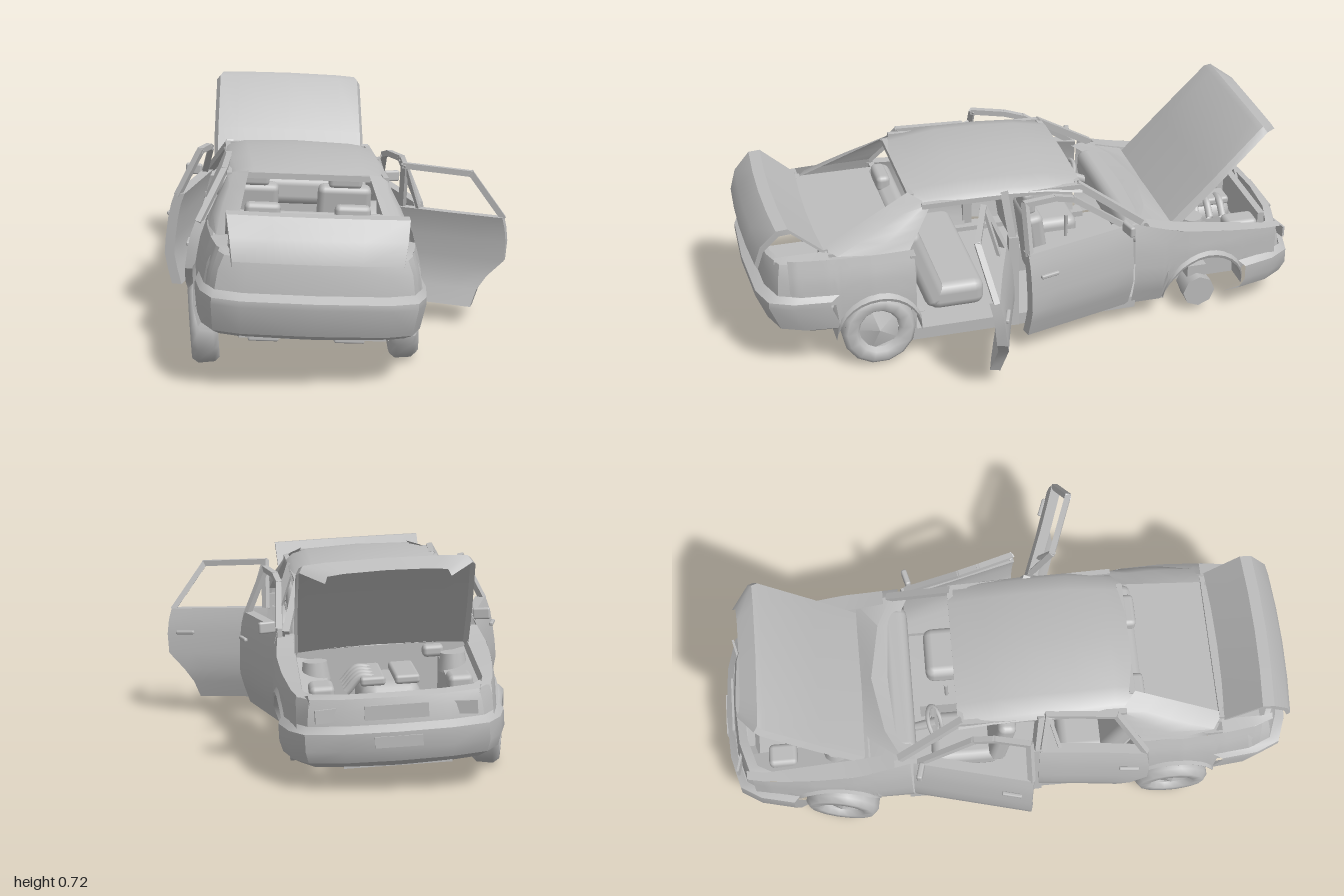
import * as THREE from 'three';
import { toCreasedNormals } from 'three/addons/utils/BufferGeometryUtils.js';
import { RoundedBoxGeometry } from 'three/addons/geometries/RoundedBoxGeometry.js';

const grey = new THREE.MeshStandardMaterial({ color: 0xbcbcbc, side: THREE.DoubleSide });
grey.name = 'plain grey';

// Straight-line interpolation through [position, value] pairs
function tab(pts, v) {
  if (v <= pts[0][0]) return pts[0][1];
  for (let i = 1; i < pts.length; i++) {
    const [a, p] = pts[i - 1], [b, q] = pts[i];
    if (v <= b) return p + (q - p) * (v - a) / (b - a);
  }
  return pts[pts.length - 1][1];
}
const range = (a, b, n) => Array.from({ length: n + 1 }, (_, i) => a + (b - a) * i / n);

// Half width of the body at any length and height
const plan = [[-0.97, 0.29], [-0.85, 0.325], [-0.7, 0.35], [-0.55, 0.362], [0.3, 0.362], [0.6, 0.372], [0.75, 0.362], [0.86, 0.345], [0.93, 0.31], [0.97, 0.28]];
const tumble = [[0.08, 0.9], [0.2, 1], [0.3, 0.99], [0.38, 0.96], [0.45, 0.9], [0.57, 0.73]];
const side = (z, y) => tab(plan, z) * tab(tumble, y);

function add(parent, name, geo, x = 0, y = 0, z = 0, rx = 0, ry = 0, rz = 0) {
  const m = new THREE.Mesh(geo, grey);
  m.name = name;
  m.position.set(x, y, z);
  m.rotation.set(rx, ry, rz);
  parent.add(m);
  return m;
}

// Skin over rows of [x, y, z] points
function skin(parent, name, rows) {
  const n = rows[0].length, idx = [];
  for (let r = 0; r < rows.length - 1; r++) for (let c = 0; c < n - 1; c++) {
    const a = r * n + c, b = a + n;
    idx.push(a, a + 1, b, a + 1, b + 1, b);
  }
  const g = new THREE.BufferGeometry();
  g.setAttribute('position', new THREE.Float32BufferAttribute(rows.flat(2), 3));
  g.setIndex(idx);
  g.computeVertexNormals();
  return add(parent, name, toCreasedNormals(g, 0.6));
}
const box = (p, name, w, h, d, x, y, z, rx = 0) => add(p, name, new THREE.BoxGeometry(w, h, d), x, y, z, rx);
const soft = (p, name, w, h, d, x, y, z, rx = 0) => add(p, name, new RoundedBoxGeometry(w, h, d, 2, Math.min(w, h, d) * 0.35), x, y, z, rx);
function beam(p, name, a, b, w) {
  const A = new THREE.Vector3(...a), B = new THREE.Vector3(...b);
  const m = add(p, name, new THREE.BoxGeometry(w, w, A.distanceTo(B) + w * 0.6));
  m.position.lerpVectors(A, B, 0.5);
  m.quaternion.setFromUnitVectors(new THREE.Vector3(0, 0, 1), B.sub(A).normalize());
}
const pipe = (p, name, pts, r) => add(p, name, new THREE.TubeGeometry(new THREE.CatmullRomCurve3(pts.map(q => new THREE.Vector3(...q))), 16, r, 8));
const arch = (z, zc, r, yc, base) => Math.abs(z - zc) < r ? Math.max(base, yc + Math.sqrt(r * r - (z - zc) ** 2)) : base;

// Door: curved hollow slab with an open window frame, hung at its front edge
function door(parent, name, s, z0, edge, top, angle) {
  const outer = new THREE.Group(), hinge = new THREE.Group();
  outer.name = name;
  outer.scale.x = s;
  const H = side(z0, 0.25);
  hinge.position.set(H, 0, z0);
  hinge.rotation.y = angle;
  outer.add(hinge);
  parent.add(outer);
  const ys = [0.1, 0.1, 0.16, 0.21, 0.27, 0.34, 0.39, 0.43, 0.43];
  skin(hinge, name + 'Panel', ys.map((y, i) => {
    const t = i === 0 || i === ys.length - 1 ? 0 : 0.035, zs = range(0, tab(edge, y), 4);
    const at = (d, off) => [side(z0 + d, y) - H - off, y, d];
    const ring = [...zs.map(d => at(d, 0.018 - t / 2)), ...zs.slice().reverse().map(d => at(d, 0.018 + t / 2))];
    return [...ring, ring[0]];
  }));
  const f = top.map(([d, y]) => [side(z0 + d, y) - H - 0.012, y, d]);
  for (let i = 1; i < f.length; i++) beam(hinge, name + 'WindowFrame', f[i - 1], f[i], 0.02);
  soft(hinge, name + 'Handle', 0.014, 0.014, 0.07, 0.0, 0.345, tab(edge, 0.34) - 0.07);
  return hinge;
}

// Wheel: lathed tyre with a five-sided dished hub
function wheel(parent, name, x, y, z, tilt, steer) {
  const g = new THREE.Group();
  g.name = name;
  g.position.set(x, y, z);
  g.rotation.set(0, steer, tilt);
  const prof = [[0.075, -0.045], [0.115, -0.045], [0.13, -0.028], [0.131, 0.025], [0.115, 0.045], [0.082, 0.045], [0.07, 0.025]];
  const tyre = new THREE.LatheGeometry(prof.map(p => new THREE.Vector2(...p)), 14);
  const out = x < -0.14 ? 1 : -1;
  add(g, 'tyre', tyre, 0, 0, 0, 0, 0, out * Math.PI / 2);
  add(g, 'hub', new THREE.ConeGeometry(0.085, 0.03, 5).toNonIndexed(), -out * 0.025, 0, 0, 0, 0, out * Math.PI / 2);
  add(g, 'brakeDisc', new THREE.CylinderGeometry(0.075, 0.075, 0.015, 14), out * 0.02, 0, 0, 0, 0, Math.PI / 2);
  parent.add(g);
}

export function createModel() {
  const car = new THREE.Group();
  car.name = 'openSaloonCar';
  const body = new THREE.Group();
  body.name = 'body';
  body.position.x = -0.14;
  body.rotation.z = -0.055;
  car.add(body);

  // Wings and rear quarters
  const wingTop = z => tab([[-0.96, 0.31], [-0.5, 0.385], [-0.34, 0.43]], z);
  const deck = z => tab([[0.45, 0.45], [0.9, 0.452], [0.96, 0.43]], z);
  const wingLow = z => arch(z, -0.62, 0.155, 0.11, z < -0.77 ? 0.2 : 0.1);
  const tailLow = z => arch(z, 0.58, 0.15, 0.14, z > 0.72 ? 0.29 : 0.1);
  for (const s of [-1, 1]) {
    const panel = (name, zs, lo, hi) => skin(body, name, zs.map(z => range(lo(z), hi(z), 6).map(y => [s * side(z, y), y, z])));
    panel('frontWing', range(-0.9, -0.345, 44), wingLow, wingTop);
    panel('rearQuarter', range(0.45, 0.88, 40), tailLow, deck);
    skin(body, 'wingRim', range(-0.92, -0.4, 8).map(z => {
      const w = side(z, wingTop(z));
      return [[s * w, wingTop(z), z], [s * Math.min(0.285, w - 0.03), wingTop(z) + 0.004, z], [s * Math.min(0.28, w - 0.035), wingTop(z) - 0.03, z], [s * 0.19, wingTop(z) - 0.05, z], [s * 0.18, 0.16, z]];
    }));
    skin(body, 'deckRim', range(0.74, 0.92, 5).map(z => [[s * side(z, deck(z)), deck(z), z], [s * Math.min(0.275, side(z, deck(z)) - 0.02), deck(z) + 0.005, z], [s * 0.26, 0.3, z]]));
    // Wheel arch lips and closed wheel wells
    for (const [zc, r, yc] of [[-0.62, 0.155, 0.11], [0.58, 0.15, 0.14]]) {
      skin(body, 'wheelArch', range(0, Math.PI, 14).map(a => {
        const z = zc + r * Math.cos(a), y = yc + r * Math.sin(a), w = side(z, y);
        return [[s * (w - 0.002), y + 0.025, z], [s * (w + 0.008), y + 0.008, z], [s * (w + 0.004), y - 0.004, z], [s * 0.23, y - 0.004, z], [s * 0.23, yc - 0.006, z]];
      }));
    }
    // Sill, pillars and rear pillar skin
    box(body, 'sill', 0.05, 0.045, 0.82, s * 0.31, 0.105, 0.05);
    beam(body, 'windscreenPillar', [s * 0.305, 0.425, -0.375], [s * 0.245, 0.568, -0.16], 0.024);
    beam(body, 'centrePillarLower', [s * 0.33, 0.1, 0.095], [s * 0.315, 0.43, 0.095], 0.035);
    beam(body, 'centrePillarUpper', [s * 0.315, 0.43, 0.095], [s * 0.258, 0.58, 0.11], 0.026);
    beam(body, 'roofRail', [s * 0.252, 0.568, -0.16], [s * 0.262, 0.575, 0.4], 0.018);
    skin(body, 'rearPillar', range(0, 1, 4).map(t => {
      const y = 0.448 + 0.127 * t, z0 = 0.465 - 0.09 * t, z1 = 0.73 - 0.31 * t;
      return [[s * (side(z0, y) - 0.03), y, z0], [s * side(z0, y), y, z0], [s * side(z1, y), y, (z0 + z1) / 2], [s * (side(z1, y) - 0.02), y + 0.012 * t, z1 - 0.02],
        [s * (0.25 - 0.05 * t), y + 0.005 + 0.02 * t, z1 + 0.02]];
    }));
    box(body, 'doorFrameEnd', 0.03, 0.32, 0.02, s * 0.325, 0.27, 0.455);
    // Headlamps, suspension towers and lid hinges
    box(body, 'headlamp', 0.12, 0.042, 0.008, s * 0.195, 0.258, -0.943).rotation.y = s * 0.24;
    add(body, 'suspensionTower', new THREE.CylinderGeometry(0.04, 0.05, 0.06, 12), s * 0.225, 0.335, -0.6);
    beam(body, 'bootHinge', [s * 0.24, 0.42, 0.76], [s * 0.24, 0.455, 0.75], 0.015);
  }

  // Roof shell
  skin(body, 'roof', [[-0.17, 0.585], [-0.05, 0.608], [0.08, 0.618], [0.25, 0.621], [0.37, 0.61], [0.44, 0.598]].map(([z, y]) =>
    [[-0.268, -0.038], [-0.25, -0.022], [-0.19, -0.006], [0, 0], [0.19, -0.006], [0.25, -0.022], [0.268, -0.038]].map(([x, d]) => [x * (z > 0.3 ? 0.96 : 1), y + d, z])));
  beam(body, 'windscreenHeader', [-0.24, 0.565, -0.16], [0.24, 0.565, -0.16], 0.02);
  beam(body, 'rearWindowHeader', [-0.2, 0.585, 0.43], [0.2, 0.585, 0.43], 0.02);

  // Ends of the body: plan curve swept through a height profile
  function end(name, curve, rows) {
    const full = [...curve, ...curve.slice(0, -1).reverse().map(([x, z]) => [-x, z])];
    skin(body, name, rows.map(([k, y, dz]) => full.map(([x, z]) => [x * k, y, z + dz])));
  }
  const tail = [[-0.365, 0.735], [-0.352, 0.86], [-0.318, 0.94], [-0.23, 0.972], [0, 0.983]];
  end('rearBumper', tail, [[0.92, 0.175, -0.06], [0.985, 0.195, -0.025], [1.015, 0.29, 0.013], [1.012, 0.31, 0.012], [0.98, 0.328, -0.02]]);
  end('rearPanel', tail.slice(1), [[0.985, 0.32, -0.02], [0.955, 0.39, -0.026], [0.9, 0.435, -0.035], [0.86, 0.442, -0.05]]);
  const nose = [[-0.358, -0.765], [-0.33, -0.88], [-0.285, -0.952], [-0.17, -0.983], [0, -0.993]];
  end('frontBumper', nose, [[0.9, 0.085, 0.06], [0.98, 0.11, 0.012], [1.01, 0.15, -0.005], [1.01, 0.205, -0.004], [0.97, 0.225, 0.02]]);
  end('nosePanel', nose.slice(1), [[0.97, 0.22, 0.024], [0.955, 0.27, 0.03], [0.93, 0.305, 0.04], [0.88, 0.315, 0.07]]);
  box(body, 'grille', 0.2, 0.045, 0.008, 0, 0.262, -0.964);
  box(body, 'numberPlateBlank', 0.15, 0.035, 0.008, 0, 0.175, -0.996);

  // Bonnet raised on its rear edge, with bevelled side skirts
  const bonnet = [[-0.495, 0.385, 1], [-0.64, 0.535, 1], [-0.81, 0.712, 0.98], [-0.83, 0.722, 0.94], [-0.89, 0.692, 0.68]];
  skin(body, 'bonnet', bonnet.map(([z, y, k]) => [[-0.288, 0.028], [-0.275, 0.008], [-0.2, 0.003], [0, 0], [0.2, 0.003], [0.275, 0.008], [0.288, 0.028]].map(([x, d]) => [x * k, y - d, z - d * 0.7])));

  // Boot lid raised, with its drop-down rear face
  skin(body, 'bootLid', [[0.75, 0.462, 0.28], [0.87, 0.568, 0.285], [0.91, 0.565, 0.285], [0.965, 0.505, 0.275], [0.985, 0.435, 0.265]].map(([z, y, w]) =>
    [[-w, y - 0.02, z - 0.01], ...[-1, -0.5, 0, 0.5, 1].map(k => [k * w, y, z + 0.012 * (1 - k * k)]), [w, y - 0.02, z - 0.01]]));

  // Scuttle below the windscreen, firewall and rear shelf
  skin(body, 'scuttle', [[-0.31, -0.37], [-0.2, -0.425], [0, -0.46], [0.2, -0.425], [0.31, -0.37]].map(([x, z]) => [[x, 0.385, -0.5], [x, 0.42, z], [x, 0.41, z + 0.06]]));
  box(body, 'firewall', 0.58, 0.28, 0.015, 0, 0.25, -0.48);
  box(body, 'rearShelf', 0.56, 0.012, 0.31, 0, 0.438, 0.6);
  box(body, 'rearDeckStrip', 0.54, 0.014, 0.03, 0, 0.452, 0.75);
  box(body, 'bootFloor', 0.46, 0.02, 0.46, 0, 0.185, 0.69);

  // Engine bay
  soft(body, 'engineBlock', 0.2, 0.16, 0.28, 0, 0.24, -0.68);
  for (const x of [-0.055, 0.055]) soft(body, 'valveCover', 0.08, 0.03, 0.24, x, 0.325, -0.68);
  for (let i = 0; i < 4; i++) pipe(body, 'intakeRunner', [[0.03, 0.32, -0.76 + i * 0.05], [0.09, 0.335, -0.76 + i * 0.05], [0.14, 0.29, -0.76 + i * 0.05]], 0.014);
  soft(body, 'battery', 0.08, 0.05, 0.1, -0.22, 0.31, -0.79);
  soft(body, 'airFilterBox', 0.08, 0.05, 0.12, 0.22, 0.305, -0.79);
  soft(body, 'brakeReservoir', 0.07, 0.04, 0.05, -0.17, 0.36, -0.52);
  box(body, 'radiator', 0.34, 0.14, 0.025, 0, 0.23, -0.9);
  box(body, 'engineTray', 0.34, 0.015, 0.42, 0, 0.09, -0.72);

  // Cabin
  box(body, 'floor', 0.62, 0.018, 0.98, 0, 0.1, 0.01, -0.01);
  soft(body, 'dashboard', 0.56, 0.11, 0.1, 0, 0.36, -0.37);
  box(body, 'centreConsole', 0.08, 0.1, 0.3, 0, 0.16, -0.15);
  add(body, 'gearLever', new THREE.CylinderGeometry(0.008, 0.006, 0.1, 8), 0, 0.25, -0.2);
  add(body, 'steeringWheel', new THREE.TorusGeometry(0.058, 0.008, 8, 20), -0.165, 0.37, -0.25, -0.4);
  add(body, 'steeringBoss', new THREE.CylinderGeometry(0.02, 0.015, 0.09, 8), -0.165, 0.355, -0.285, 1.2);
  box(body, 'steeringSpoke', 0.11, 0.02, 0.01, -0.165, 0.37, -0.25, -0.4);
  for (const s of [-1, 1]) {
    soft(body, 'frontSeatCushion', 0.19, 0.09, 0.24, s * 0.165, 0.19, -0.15);
    soft(body, 'frontSeatBack', 0.19, 0.29, 0.065, s * 0.165, 0.32, -0.02, 0.15);
    soft(body, 'frontHeadrest', 0.12, 0.09, 0.045, s * 0.165, 0.5, 0.01, 0.1);
    soft(body, 'rearHeadrest', 0.12, 0.06, 0.05, s * 0.15, 0.47, 0.46);
  }
  soft(body, 'rearSeatCushion', 0.54, 0.1, 0.2, 0, 0.19, 0.28);
  soft(body, 'rearSeatBack', 0.54, 0.32, 0.08, 0, 0.31, 0.4, 0.35);

  // Doors, each opened by its own amount
  const frontEdge = [[0.1, 0.415], [0.44, 0.42]];
  const rearEdge = [[0.1, 0.28], [0.16, 0.295], [0.21, 0.325], [0.27, 0.38], [0.36, 0.385], [0.43, 0.37]];
  const frontTop = [[0.02, 0.425], [0.2, 0.555], [0.27, 0.575], [0.39, 0.583], [0.41, 0.425]];
  const rearTop = [[0.01, 0.43], [0.025, 0.588], [0.26, 0.585], [0.365, 0.43]];
  for (const [s, a, b, n] of [[1, 0.25, 1.22, 'left'], [-1, 0.255, 0.09, 'right']]) {
    const f = door(body, n + 'FrontDoor', s, -0.34, frontEdge, frontTop, a);
    soft(f, 'wingMirror', 0.06, 0.04, 0.02, 0.0, 0.435, 0.03);
    const r = door(body, n + 'RearDoor', s, 0.1, rearEdge, rearTop, b);
    beam(r, 'windowDivider', [-0.05, 0.43, 0.07], [-0.105, 0.585, 0.03], 0.012);
  }

  // Underside: exhaust, rails, axle and dampers
  for (const x of [-0.06, 0.06]) pipe(body, 'exhaustPipe', [[x, 0.1, -0.55], [x, 0.08, -0.2], [x, 0.08, 0.3], [x, 0.11, 0.6]], 0.017);
  soft(body, 'centreSilencer', 0.18, 0.04, 0.22, 0, 0.08, 0.05);
  soft(body, 'rearSilencer', 0.1, 0.045, 0.12, 0, 0.125, 0.64);
  pipe(body, 'rearAxle', [[-0.32, 0.13, 0.58], [0, 0.12, 0.56], [0.32, 0.13, 0.58]], 0.02);
  pipe(body, 'frontCrossTube', [[-0.32, 0.12, -0.6], [0, 0.11, -0.58], [0.32, 0.12, -0.6]], 0.018);
  for (const s of [-1, 1]) {
    box(body, 'chassisRail', 0.035, 0.03, 0.95, s * 0.2, 0.088, -0.05);
    beam(body, 'trailingArm', [s * 0.2, 0.1, 0.4], [s * 0.25, 0.125, 0.6], 0.03);
    add(body, 'rearSpring', new THREE.CylinderGeometry(0.018, 0.018, 0.09, 10), s * 0.14, 0.145, 0.64);
    soft(body, 'springSeat', 0.1, 0.018, 0.1, s * 0.14, 0.1, 0.64);
    add(body, 'frontHub', new THREE.CylinderGeometry(0.055, 0.06, 0.09, 8), s * 0.28, 0.1, -0.61, 0, 0, Math.PI / 2);
    box(body, 'frontUpright', 0.06, 0.14, 0.07, s * 0.26, 0.12, -0.61);
  }

  // Three fitted wheels; the left front hub is bare
  wheel(car, 'rearLeftWheel', 0.185, 0.134, 0.58, 0.05, 0);
  wheel(car, 'rearRightWheel', -0.465, 0.134, 0.58, 0.05, 0);
  wheel(car, 'frontRightWheel', -0.465, 0.138, -0.6, 0.04, -0.2);
  return car;
}
